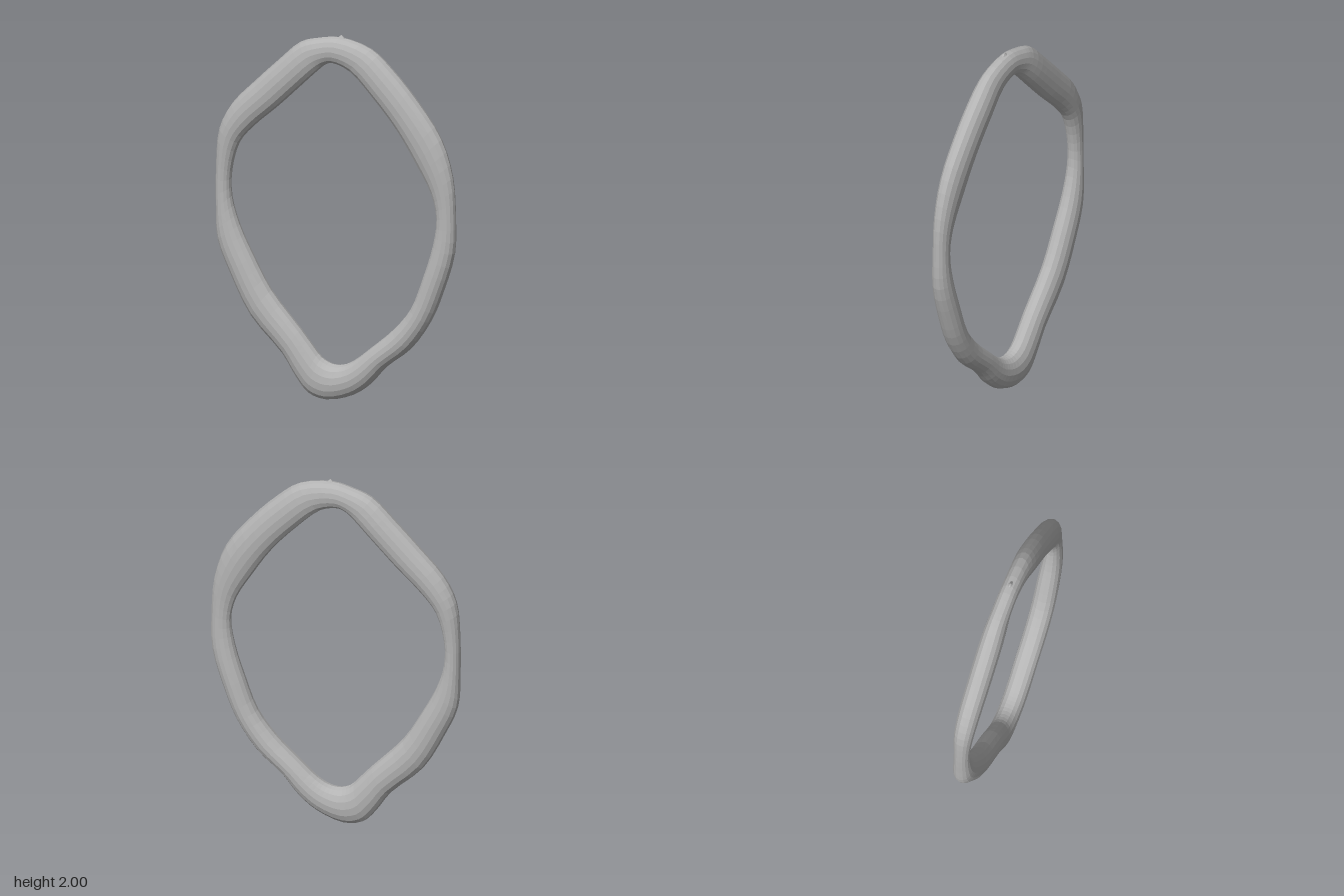
import * as THREE from 'three';

// Stations clockwise from the top: outer x, outer y, inner x, inner y
const STATIONS = [
  [0.02, 1.985, -0.02, 1.84], [0.2, 1.945, 0.08, 1.81], [0.32, 1.85, 0.21, 1.69],
  [0.47, 1.69, 0.35, 1.53], [0.6, 1.51, 0.46, 1.36], [0.665, 1.31, 0.545, 1.21],
  [0.68, 1.1, 0.575, 1.08], [0.675, 0.9, 0.555, 0.93], [0.61, 0.68, 0.5, 0.75],
  [0.54, 0.51, 0.43, 0.57], [0.43, 0.35, 0.33, 0.44], [0.29, 0.23, 0.2, 0.32],
  [0.2, 0.125, 0.1, 0.235], [0.1, 0.05, 0.04, 0.205], [-0.05, 0.003, -0.02, 0.2],
  [-0.15, 0.025, -0.08, 0.225], [-0.22, 0.1, -0.14, 0.29], [-0.3, 0.22, -0.2, 0.36],
  [-0.48, 0.4, -0.37, 0.55], [-0.6, 0.62, -0.47, 0.72], [-0.67, 0.79, -0.55, 0.88],
  [-0.68, 0.95, -0.595, 1.03], [-0.68, 1.2, -0.595, 1.17], [-0.66, 1.4, -0.55, 1.33],
  [-0.59, 1.54, -0.47, 1.43], [-0.46, 1.68, -0.33, 1.56], [-0.33, 1.81, -0.2, 1.69],
  [-0.2, 1.93, -0.1, 1.79], [-0.1, 1.965, -0.06, 1.825],
];

const RINGS = STATIONS.length * 3;
const SIDES = 16;

// Closed curve through one edge of the stations
function edgeCurve(offset) {
  const points = STATIONS.map((s) => new THREE.Vector3(s[offset], s[offset + 1], 0));
  return new THREE.CatmullRomCurve3(points, true, 'centripetal');
}

// Half depth: slimmest at mid height, a little thinner at the crown
function halfDepth(y) {
  const waist = 0.019 * Math.exp(-(((y - 1.12) / 0.27) ** 2));
  const crown = 0.012 * Math.exp(-(((y - 1.93) / 0.09) ** 2));
  return 0.061 - waist - crown;
}

// Oval cross-sections joined into a closed hoop
function hoopGeometry() {
  const outer = edgeCurve(0);
  const inner = edgeCurve(2);
  const positions = [];
  const index = [];
  for (let i = 0; i < RINGS; i++) {
    const o = outer.getPoint(i / RINGS);
    const n = inner.getPoint(i / RINGS);
    const centre = o.clone().add(n).multiplyScalar(0.5);
    const radius = o.clone().sub(centre);
    const depth = halfDepth(centre.y);
    for (let j = 0; j < SIDES; j++) {
      const a = (j / SIDES) * Math.PI * 2;
      const p = centre.clone().addScaledVector(radius, Math.cos(a));
      positions.push(p.x, p.y, depth * Math.sin(a));
      const i2 = (i + 1) % RINGS;
      const j2 = (j + 1) % SIDES;
      const A = i * SIDES + j, B = i * SIDES + j2;
      const C = i2 * SIDES + j, D = i2 * SIDES + j2;
      index.push(A, B, C, B, D, C);
    }
  }
  const geometry = new THREE.BufferGeometry();
  geometry.setAttribute('position', new THREE.Float32BufferAttribute(positions, 3));
  geometry.setIndex(index);
  // Faceted finish
  const flat = geometry.toNonIndexed();
  flat.computeVertexNormals();
  return flat;
}

export function createModel() {
  const group = new THREE.Group();
  group.name = 'irregularRing';
  const grey = new THREE.MeshStandardMaterial({ color: 0xb4b4b4 });
  grey.name = 'plain grey';

  const hoop = new THREE.Mesh(hoopGeometry(), grey);
  hoop.name = 'hoop';
  group.add(hoop);

  // Small pinched peak on the crown
  const peak = new THREE.Mesh(new THREE.ConeGeometry(0.04, 0.035, 6).toNonIndexed(), grey);
  peak.geometry.computeVertexNormals();
  peak.name = 'crownPeak';
  peak.scale.z = 0.5;
  peak.position.set(0.03, 1.9825, 0);
  group.add(peak);

  return group;
}
